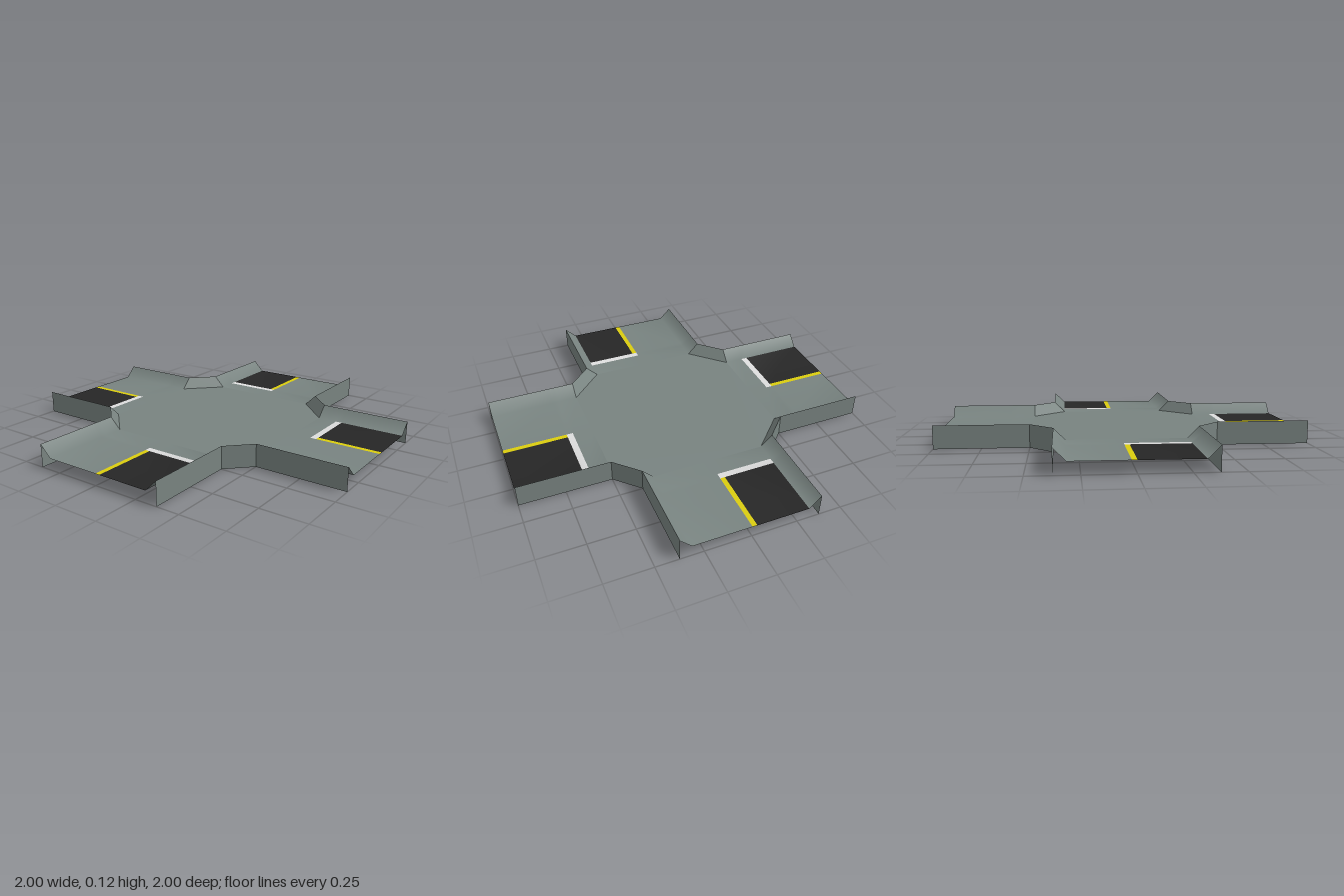
import * as THREE from 'three';

const HALF = 0.375;   // outer half width of an arm
const ROAD = 0.3125;  // half width of the flat deck
const HUB = 0.5;      // where the arms meet the hub
const FLOOR = 0.0625;
const TOP = 0.125;

const make = (name, color) => {
  const m = new THREE.MeshStandardMaterial({ color, side: THREE.DoubleSide });
  m.name = name;
  return m;
};

// Flat four-cornered sheet, corners counter-clockwise
function quad(name, material, ...corners) {
  const g = new THREE.BufferGeometry();
  g.setAttribute('position', new THREE.Float32BufferAttribute(corners.flat(), 3));
  g.setIndex([0, 1, 2, 0, 2, 3]);
  g.computeVertexNormals();
  const mesh = new THREE.Mesh(g, material);
  mesh.name = name;
  return mesh;
}

// Arm deck with sloped kerbs: a smooth grid whose cells pick a material
function armDeck(materials, stripe) {
  const xs = [-HALF, -ROAD, stripe, stripe + 0.026, ROAD, HALF];
  const zs = [HUB, 0.607, 0.642, 1];
  const cells = [        // 0 deck, 1 asphalt, 2 yellow, 3 white
    [0, 0, 0, 0, 0],
    [0, 0, 3, 3, 0],
    [0, 0, 2, 1, 0],
  ];
  const pos = [], index = [];
  const g = new THREE.BufferGeometry();
  for (const z of zs) for (const x of xs) pos.push(x, Math.abs(x) === HALF ? TOP : FLOOR, z);
  const n = xs.length;
  cells.forEach((row, r) => row.forEach((mat, c) => {
    const a = r * n + c, b = a + n;
    g.addGroup(index.length, 6, mat);
    index.push(a, b, b + 1, a, b + 1, a + 1);
  }));
  g.setAttribute('position', new THREE.Float32BufferAttribute(pos, 3));
  g.setIndex(index);
  g.computeVertexNormals();
  const mesh = new THREE.Mesh(g, materials);
  mesh.name = 'armDeck';
  return mesh;
}

export function createModel() {
  const deck = make('greyDeck', 0x788380);
  const asphalt = make('blackAsphalt', 0x262626);
  const yellow = make('yellowLine', 0xdacc0e);
  const white = make('whiteLine', 0xdcdcdc);

  const model = new THREE.Group();
  model.name = 'crossroads';

  // Octagonal hub floor
  const outline = [[ROAD, HUB], [HUB, ROAD], [HUB, -ROAD], [ROAD, -HUB],
    [-ROAD, -HUB], [-HUB, -ROAD], [-HUB, ROAD], [-ROAD, HUB]];
  const shape = new THREE.Shape(outline.map(([x, y]) => new THREE.Vector2(x, y)));
  const hub = new THREE.Mesh(new THREE.ShapeGeometry(shape).rotateX(-Math.PI / 2), deck);
  hub.name = 'hubFloor';
  hub.position.y = FLOOR;
  model.add(hub);

  // Four arms, each with the corner to its left
  ['front', 'left', 'back', 'right'].forEach((side, k) => {
    const arm = new THREE.Group();
    arm.name = side + 'Arm';
    arm.rotation.y = k * Math.PI / 2;
    arm.add(
      armDeck([deck, asphalt, yellow, white], side === 'back' ? -0.026 : 0),
      quad('leftWall', deck, [HALF, 0, 1], [HALF, 0, HUB], [HALF, TOP, HUB], [HALF, TOP, 1]),
      quad('rightWall', deck, [-HALF, 0, HUB], [-HALF, 0, 1], [-HALF, TOP, 1], [-HALF, TOP, HUB]),
      quad('cornerWall', deck, [HALF, 0, HUB], [HUB, 0, HALF], [HUB, TOP, HALF], [HALF, TOP, HUB]),
      quad('cornerKerb', deck, [ROAD, FLOOR, HUB], [HALF, TOP, HUB], [HUB, TOP, HALF], [HUB, FLOOR, ROAD]),
    );
    model.add(arm);
  });
  return model;
}
